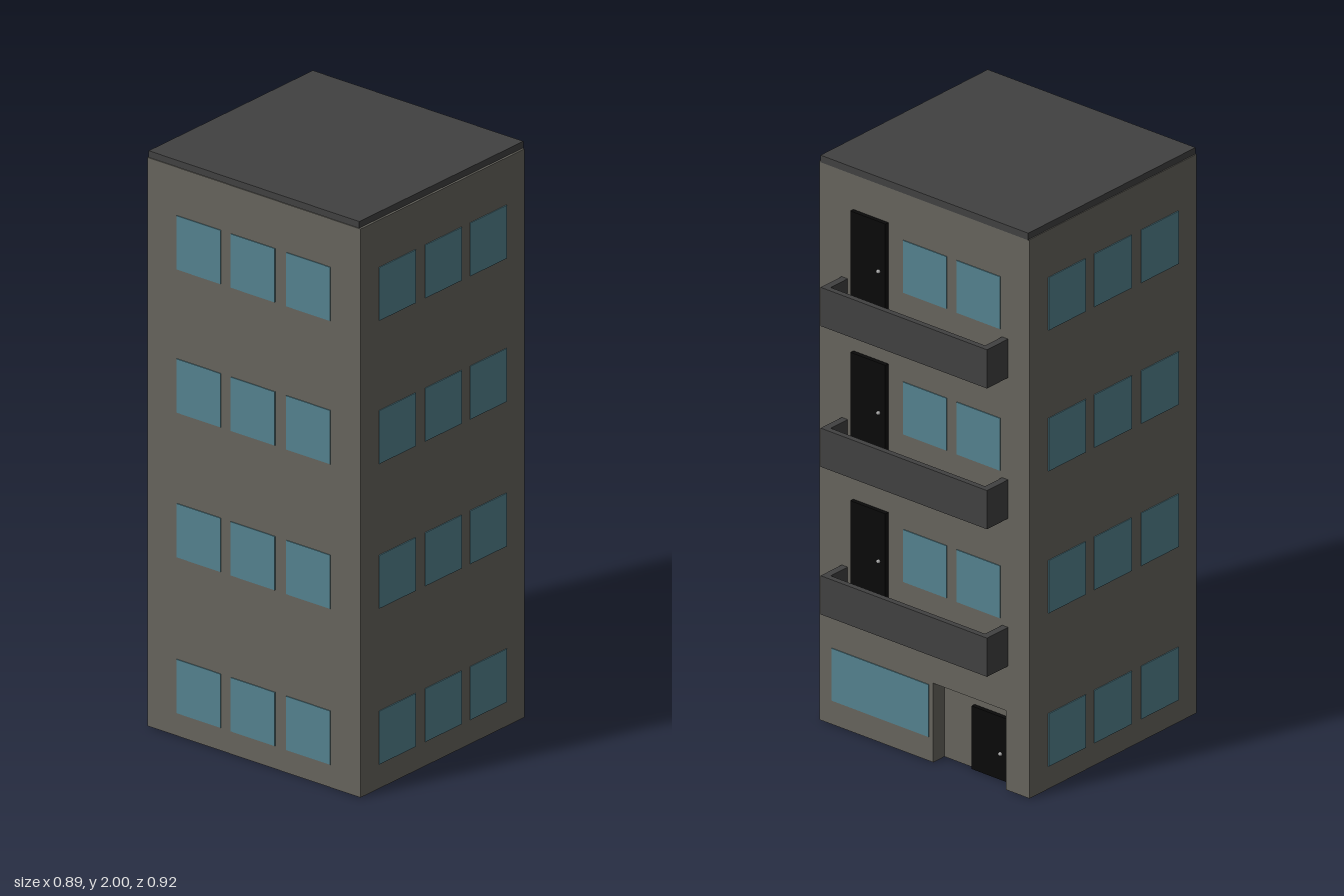
import * as THREE from 'three';

const mat = (color) => new THREE.MeshStandardMaterial({ color });

export function createModel() {
  const model = new THREE.Group();
  const wall = mat(0x66645d), dark = mat(0x414141), glass = mat(0x54828f);
  const black = mat(0x0a0a0a), metal = mat(0xaaaaaa);

  // Box given by its min and max corners
  const box = (name, material, [x0, y0, z0], [x1, y1, z1], parent = model) => {
    const mesh = new THREE.Mesh(new THREE.BoxGeometry(x1 - x0, y1 - y0, z1 - z0), material);
    mesh.position.set((x0 + x1) / 2, (y0 + y1) / 2, (z0 + z1) / 2);
    mesh.name = name;
    parent.add(mesh);
    return mesh;
  };

  const W = 0.44, front = 0.46, back = -0.357, recess = 0.055, entryTop = 0.28;
  const proud = 0.003;

  // Ground storey: footprint with the entrance notch in the back wall
  const plan = [[-W, -front], [W, -front], [W, -back], [-0.037, -back], [-0.037, -back - recess],
    [-0.341, -back - recess], [-0.341, -back], [-W, -back]];
  const footprint = new THREE.Shape(plan.map(([x, y]) => new THREE.Vector2(x, y)));
  const ground = new THREE.Mesh(
    new THREE.ExtrudeGeometry(footprint, { depth: entryTop, bevelEnabled: false }), wall);
  ground.rotation.x = -Math.PI / 2;
  ground.name = 'groundStorey';
  model.add(ground);

  // Upper storeys and roof slab
  box('upperStoreys', wall, [-W, entryTop, back], [W, 1.977, front]);
  box('roof', dark, [-0.437, 1.975, back - 0.003], [0.432, 2, 0.457]);

  // Windows: three per storey on the front and both sides
  const columns = [-0.227, -0.003, 0.226];
  const half = 0.091;
  [0.08, 0.622, 1.125, 1.623].forEach((y) => {
    columns.forEach((c) => {
      box('frontWindow', glass, [c - half, y, front - 0.01], [c + half, y + 0.187, front + proud]);
      const z = c + 0.052;
      box('leftWindow', glass, [W - 0.01, y + 0.005, z - half], [W + proud, y + 0.19, z + half]);
      box('rightWindow', glass, [-W - proud, y, z - half], [-W + 0.01, y + 0.187, z + half]);
    });
  });

  // Door with a round knob on its -x side
  const door = (name, x0, x1, y0, y1, z, knobY) => {
    const group = new THREE.Group();
    group.name = name;
    box('doorLeaf', black, [x0, y0, z - 0.015], [x1, y1, z + 0.005], group);
    const knob = new THREE.Mesh(new THREE.SphereGeometry(0.007, 12, 8), metal);
    knob.position.set(x0 + 0.026, knobY, z - 0.019);
    knob.name = 'doorKnob';
    group.add(knob);
    model.add(group);
  };

  // Balcony storeys: tray-shaped balcony, door and two windows
  [[0.44, 0.825, 0.6], [0.962, 1.35, 1.122], [1.46, 1.85, 1.623]].forEach(([y, doorTop, windowY]) => {
    const balcony = new THREE.Group();
    balcony.name = 'balcony';
    model.add(balcony);
    const top = y + 0.137, outer = -0.46, floor = y + 0.03;
    box('balconyFloor', dark, [-0.35, y, outer], [0.346, floor, back], balcony);
    box('balconyFrontWall', dark, [-0.35, floor, outer], [0.346, top, outer + 0.02], balcony);
    box('balconySideWall', dark, [-0.35, floor, outer + 0.02], [-0.325, top, back], balcony);
    box('balconySideWall', dark, [0.321, floor, outer + 0.02], [0.346, top, back], balcony);

    door('balconyDoor', 0.151, 0.297, floor, doorTop, back, doorTop - 0.175);
    columns.slice(0, 2).forEach((c) =>
      box('backWindow', glass, [c - half, windowY, back - proud], [c + half, windowY + 0.185, back + 0.01]));
  });

  // Ground floor shop window and entrance door
  box('largeBackWindow', glass, [-0.02, 0.085, back - proud], [0.387, 0.27, back + 0.01]);
  door('entranceDoor', -0.312, -0.163, 0.002, 0.225, back + recess, 0.095);

  return model;
}
